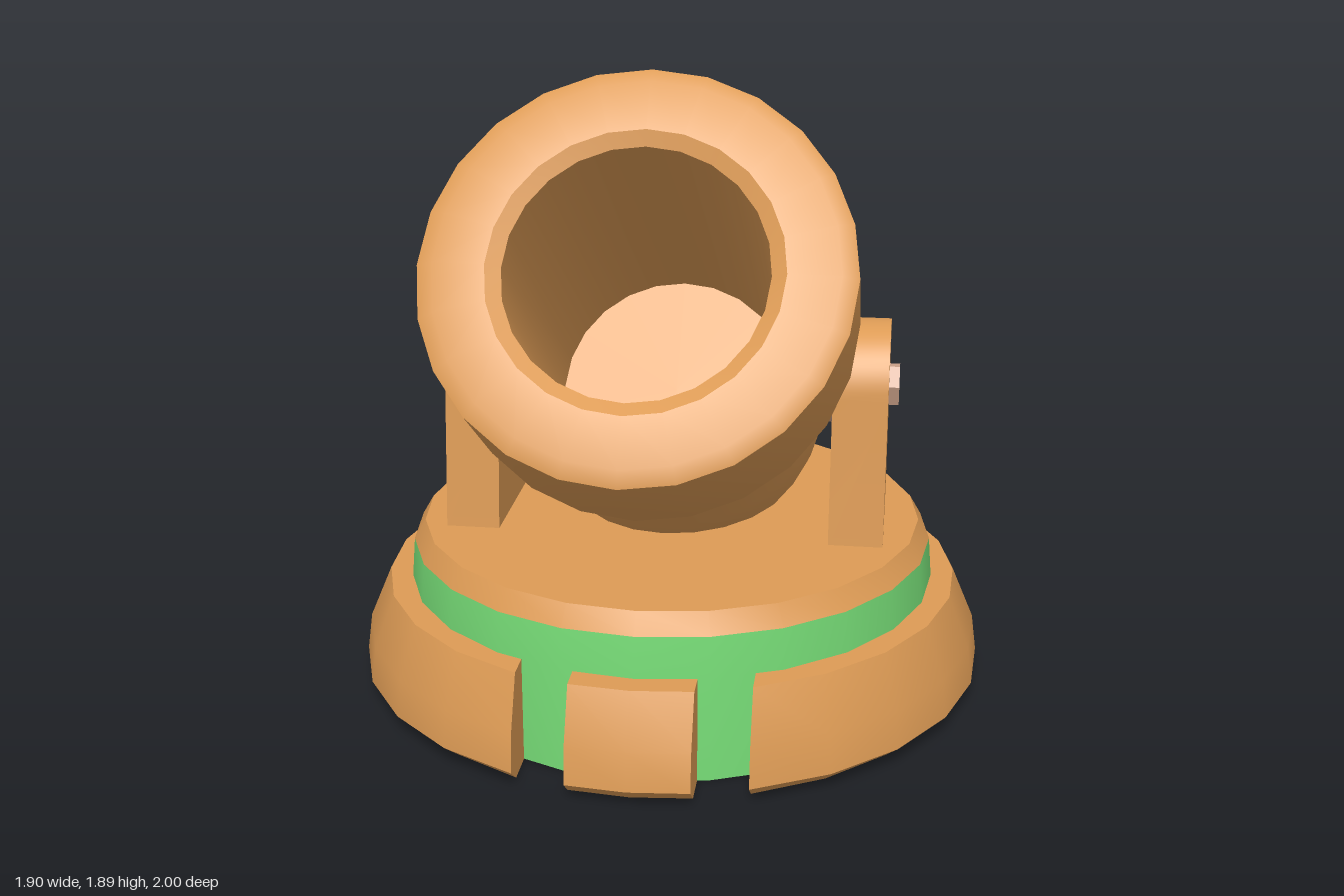
import * as THREE from 'three';
import { toCreasedNormals } from 'three/addons/utils/BufferGeometryUtils.js';

export function createModel() {
  const model = new THREE.Group();
  model.name = 'mortar';

  const bronze = new THREE.MeshStandardMaterial({ color: 0xdd9b55, side: THREE.DoubleSide });
  bronze.name = 'bronze';
  const green = new THREE.MeshStandardMaterial({ color: 0x77dd77, side: THREE.DoubleSide });
  green.name = 'green';
  const steel = new THREE.MeshStandardMaterial({ color: 0xd2a68d });
  steel.name = 'dull metal';

  const PIVOT_Y = 0.92, PIVOT_Z = -0.045;
  const vec = ([x, y]) => new THREE.Vector2(x, y);
  const crease = (geo) => toCreasedNormals(geo, 0.5);
  function add(parent, name, geo, material) {
    const mesh = new THREE.Mesh(geo, material);
    mesh.name = name;
    parent.add(mesh);
    return mesh;
  }
  const lathe = (pts, segments = 24) => crease(new THREE.LatheGeometry(pts.map(vec), segments));

  // Round base: green core with a bronze deck on top
  const base = new THREE.Group();
  base.name = 'base';
  base.position.z = -0.05;
  model.add(base);
  add(base, 'baseCore', lathe([[0.8, 0], [0.8, 0.31], [0.79, 0.43]]), green);
  add(base, 'baseDeck', lathe([[0.79, 0.43], [0.755, 0.49], [0, 0.49]]), bronze);
  add(base, 'baseUnderside', new THREE.CircleGeometry(0.8, 24).rotateX(Math.PI / 2), bronze);

  // Outer foot ring in two pieces, with two straight-sided slots at the front
  const ringProfile = [[0.79, 0], [0.89, 0], [0.95, 0.05], [0.935, 0.16], [0.87, 0.31], [0.79, 0.31]];
  function ringPiece(name, startX, endX, turn, segments) {
    const geo = new THREE.LatheGeometry(ringProfile.map(vec), segments, 0, 1);
    const p = geo.attributes.position;
    for (let i = 0; i < p.count; i++) {
      const r = Math.hypot(p.getX(i), p.getZ(i));
      const t = Math.atan2(p.getX(i), p.getZ(i));
      const a = Math.asin(startX / r);
      const angle = a + (Math.asin(endX / r) + turn - a) * t;
      p.setX(i, r * Math.sin(angle));
      p.setZ(i, r * Math.cos(angle));
    }
    add(base, name, crease(geo), bronze);
    // flat slot walls
    for (const x of [startX, endX]) {
      const wall = new THREE.Shape(ringProfile.map(([r, y]) => new THREE.Vector2(Math.sqrt(r * r - x * x), y)));
      add(base, name + 'SlotWall', new THREE.ShapeGeometry(wall).rotateY(-Math.PI / 2).translate(x, 0, 0), bronze);
    }
  }
  ringPiece('footRing', 0.325, -0.325, Math.PI * 2, 22);
  ringPiece('frontBlock', -0.172, 0.172, 0, 2);

  // Barrel, built along y and tipped forward
  const barrel = new THREE.Group();
  barrel.name = 'barrel';
  barrel.position.set(0, PIVOT_Y, PIVOT_Z);
  barrel.rotation.x = THREE.MathUtils.degToRad(55);
  model.add(barrel);

  const bodyCurve = new THREE.SplineCurve([
    [0.2, -0.8], [0.26, -0.75], [0.335, -0.64], [0.425, -0.38], [0.468, -0.1], [0.468, 0.05], [0.452, 0.3],
  ].map(vec));
  add(barrel, 'barrelBody', crease(new THREE.LatheGeometry(bodyCurve.getPoints(20), 32)), bronze);
  add(barrel, 'breechCap', new THREE.CircleGeometry(0.2, 32).rotateX(Math.PI / 2).translate(0, -0.8, 0), steel);
  add(barrel, 'barrelBand', lathe([[0.452, 0.3], [0.428, 0.477]], 32), green);
  add(barrel, 'muzzle', lathe([
    [0.42, 0.47], [0.545, 0.47], [0.57, 0.525], [0.573, 0.88], [0.53, 0.902],
    [0.39, 0.902], [0.35, 0.88], [0.35, -0.15], [0, -0.15],
  ]), bronze);

  // Mounting brackets with collars and hex bolts on both sides
  const outline = new THREE.Shape();
  outline.moveTo(-0.23, 0.48);
  outline.lineTo(0.23, 0.48);
  outline.lineTo(0.19, PIVOT_Y);
  outline.absarc(0, PIVOT_Y + 0.005, 0.19, 0, Math.PI, false);
  outline.closePath();
  for (const [side, s] of [['left', 1], ['right', -1]]) {
    const mount = new THREE.Group();
    mount.name = side + 'Mount';
    mount.position.z = PIVOT_Z;
    model.add(mount);
    const plate = new THREE.ExtrudeGeometry(outline, { depth: 0.16, bevelEnabled: false, curveSegments: 12 });
    plate.translate(0, 0, -0.08).rotateY(Math.PI / 2).translate(s * 0.572, 0, 0);
    add(mount, side + 'Bracket', crease(plate), bronze);
    const pin = (name, radius, sides, x0, x1) => {
      const geo = new THREE.CylinderGeometry(radius, radius, x1 - x0, sides);
      geo.rotateY(0.15).rotateZ(Math.PI / 2).translate(s * (x0 + x1) / 2, PIVOT_Y, 0);
      add(mount, side + name, crease(geo), steel);
    };
    pin('Collar', 0.12, 20, 0.4, 0.5);
    pin('Bolt', 0.066, 6, 0.64, 0.682);
  }
  return model;
}
